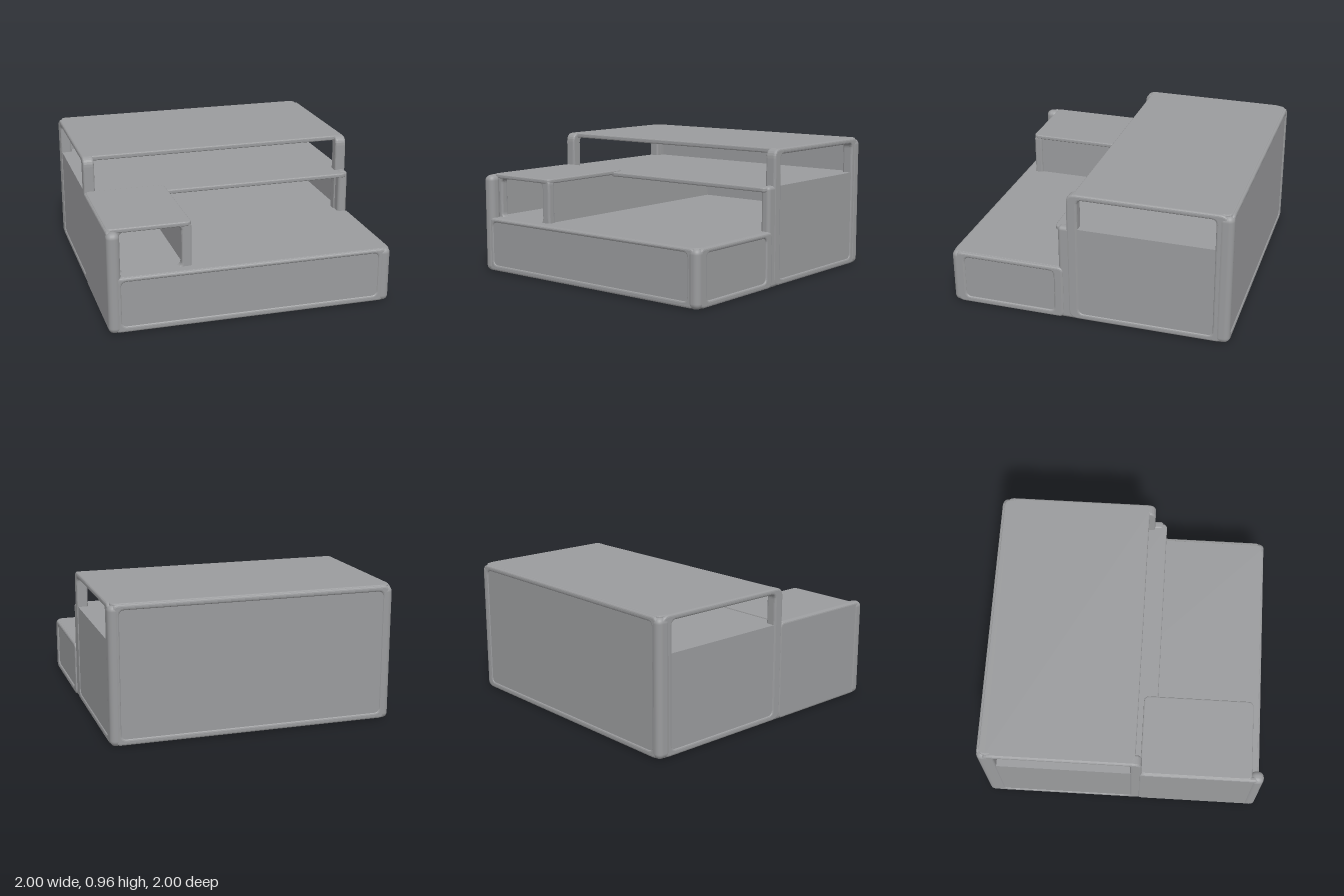
import * as THREE from 'three';
import { RoundedBoxGeometry } from 'three/addons/geometries/RoundedBoxGeometry.js';

const grey = new THREE.MeshStandardMaterial({ color: 0x9a9b9d });
grey.name = 'warm grey';

// Rounded rectangle traced onto a shape or hole path
function roundRect(path, [u0, u1, v0, v1], r) {
  path.moveTo(u0 + r, v0);
  path.lineTo(u1 - r, v0);
  path.quadraticCurveTo(u1, v0, u1, v0 + r);
  path.lineTo(u1, v1 - r);
  path.quadraticCurveTo(u1, v1, u1 - r, v1);
  path.lineTo(u0 + r, v1);
  path.quadraticCurveTo(u0, v1, u0, v1 - r);
  path.lineTo(u0, v0 + r);
  path.quadraticCurveTo(u0, v0, u0 + r, v0);
  return path;
}

// Soft-edged plate of the given thickness, from z = 0 to z = t
function plateGeometry(rect, holes, t, r, bevel) {
  const shape = roundRect(new THREE.Shape(), rect, r);
  for (const h of holes) shape.holes.push(roundRect(new THREE.Path(), h, 0.035));
  const geo = new THREE.ExtrudeGeometry(shape, {
    depth: t - 2 * bevel, curveSegments: 6,
    bevelThickness: bevel, bevelSize: bevel, bevelOffset: -bevel, bevelSegments: 3,
  });
  return geo.translate(0, 0, bevel);
}

export function createModel() {
  const group = new THREE.Group();
  const add = (name, geo) => {
    const mesh = new THREE.Mesh(geo, grey);
    mesh.name = name;
    group.add(mesh);
  };

  // Upright frame facing x or z; "low" is its smaller coordinate on that axis
  const frame = (name, axis, low, t, rect, holes, r = 0.04) => {
    const geo = plateGeometry(rect, holes, t, r, 0.015);
    if (axis === 'x') geo.rotateY(-Math.PI / 2).translate(low + t, 0, 0);
    else geo.translate(0, 0, low);
    add(name, geo);
  };

  // Horizontal board
  const board = (name, [x0, x1, z0, z1], y0, y1, r = 0.04) => {
    const geo = plateGeometry([x0, x1, z0, z1], [], y1 - y0, r, 0.01);
    add(name, geo.rotateX(Math.PI / 2).translate(0, y1, 0));
  };

  // Plain or rounded block given by its limits
  const block = (name, x0, x1, y0, y1, z0, z1, r = 0) => {
    const size = [x1 - x0, y1 - y0, z1 - z0];
    const geo = r ? new RoundedBoxGeometry(...size, 3, r) : new THREE.BoxGeometry(...size);
    geo.translate((x0 + x1) / 2, (y0 + y1) / 2, (z0 + z1) / 2);
    add(name, geo);
  };

  const T = 0.08;

  // Horizontal boards
  board('bottomBoard', [-0.985, 0.985, -0.985, 0.985], 0.005, 0.045, 0.06);
  board('lowerDeck', [-0.985, 0.985, -0.96, 0.985], 0.36, 0.398, 0.05);
  board('middleDeck', [-0.97, 0.97, -0.965, 0.23], 0.67, 0.703);
  board('roof', [-0.975, 0.975, -0.98, 0.095], 0.925, 0.96, 0.05);

  // Back wall between two rounded corner posts
  frame('backFrame', 'z', -0.995, T, [-0.965, 0.965, 0.005, 0.955], [[-0.92, 0.92, 0.05, 0.915]]);
  block('backPanel', -0.94, 0.94, 0.03, 0.94, -0.988, -0.962);

  // Front drawer face
  frame('frontFrame', 'z', 0.995 - T, T, [-0.965, 0.965, 0.005, 0.396], [[-0.91, 0.905, 0.05, 0.365]]);
  block('frontPanel', -0.93, 0.93, 0.03, 0.38, 0.962, 0.988);

  // Tall rear sides: one arch, closed by a panel up to the middle deck
  for (const s of [-1, 1]) {
    const low = s > 0 ? 0.992 - T : -0.992;
    frame('rearSideFrame', 'x', low, T, [-0.965, 0.14, 0.005, 0.96], [[-0.88, 0.062, 0.05, 0.92]], 0.065);
    const px = s * 0.972;
    block('rearSidePanel', px - 0.013, px + 0.013, 0.03, 0.703, -0.93, 0.13);
    block('rearCornerPost', s > 0 ? 0.91 : -0.995, s > 0 ? 0.995 : -0.91,
      0, 0.95, -0.997, -0.89, 0.04);
    block('middlePost', s > 0 ? 0.92 : -0.99, s > 0 ? 0.99 : -0.92,
      0, 0.708, 0.08, 0.205, 0.025);
  }

  // Low front side on the left
  frame('frontLeftSideFrame', 'x', 1 - T, T, [0.17, 0.965, 0.005, 0.396], [[0.24, 0.9, 0.05, 0.36]]);
  block('frontLeftSidePanel', 0.965, 0.99, 0.03, 0.38, 0.2, 0.95);
  block('frontLeftPost', 0.91, 1, 0, 0.398, 0.905, 1, 0.04);

  // High front side on the right
  frame('frontRightSide', 'x', -0.995, 0.04, [0.12, 0.965, 0.005, 0.71], []);
  block('frontRightPost', -1, -0.91, 0, 0.71, 0.905, 1, 0.04);

  // Open cubby on the lower deck
  board('cubbyTop', [-0.985, -0.41, 0.13, 0.915], 0.682, 0.714);
  frame('cubbyFrontFrame', 'z', 0.85, 0.06, [-0.97, -0.41, 0.36, 0.712],
    [[-0.9, -0.48, 0.395, 0.68]]);
  block('cubbyWall', -0.46, -0.425, 0.38, 0.69, -0.95, 0.89);

  return group;
}
